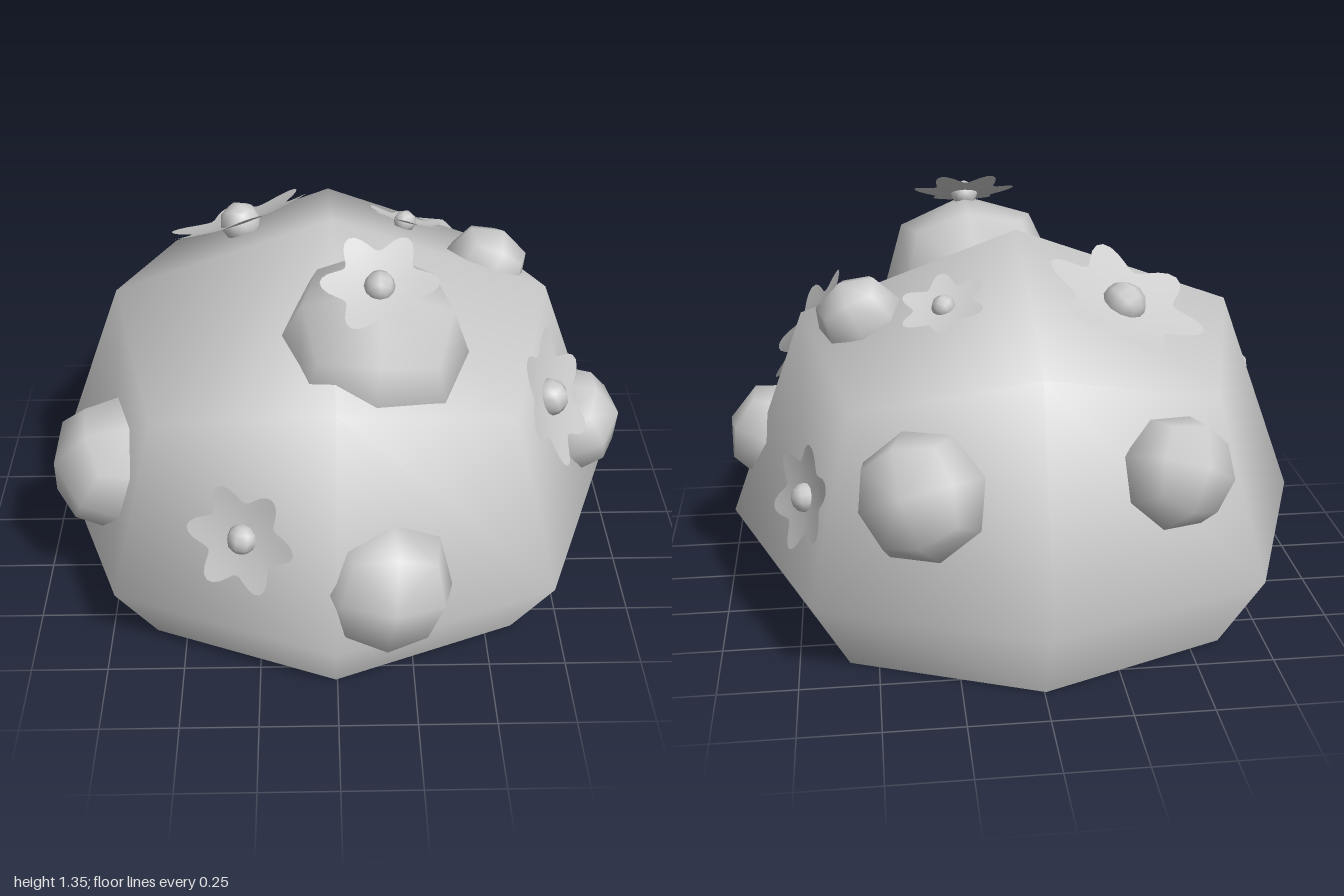
import * as THREE from 'three';

const material = new THREE.MeshStandardMaterial({ color: 0xcccccc, side: THREE.DoubleSide });

// Low-poly dome of radius 1 with an undercut open rim. Every second column is
// a cube-sphere corner: wider and lower at the shoulder.
function makeDome() {
  const axisColumn = [[0.845, -0.275], [1, 0], [0.73, 0.725], [0, 0.99]];
  const cornerColumn = [[0.86, -0.275], [1.02, 0], [0.815, 0.59], [0, 0.99]];
  const geometry = new THREE.LatheGeometry(axisColumn.map(p => new THREE.Vector2(...p)), 8);
  const { position, normal } = geometry.attributes;
  const v = new THREE.Vector3();
  for (let i = 0; i < position.count; i++) {
    const column = Math.floor(i / 4);
    const [r, y] = (column % 2 ? cornerColumn : axisColumn)[i % 4];
    const a = column * Math.PI / 4;
    v.set(r * Math.sin(a), y, r * Math.cos(a));
    position.setXYZ(i, v.x, v.y, v.z);
    v.normalize();
    normal.setXYZ(i, v.x, v.y, v.z);
  }
  return geometry;
}

// Six-petalled sheet of radius 1, slightly cupped towards +z.
function makePetals() {
  const geometry = new THREE.RingGeometry(0.02, 1, 60, 4);
  const p = geometry.attributes.position;
  for (let i = 0; i < p.count; i++) {
    const r = Math.hypot(p.getX(i), p.getY(i));
    const a = Math.atan2(p.getY(i), p.getX(i));
    const k = r * (0.83 + 0.17 * Math.cos(6 * a));
    p.setXYZ(i, k * Math.cos(a), k * Math.sin(a), 0.12 * k * k);
  }
  geometry.computeVertexNormals();
  return geometry;
}

const domeGeometry = makeDome();
const petalGeometry = makePetals();
const budGeometry = new THREE.SphereGeometry(0.27, 8, 6);

function part(name, geometry) {
  const mesh = new THREE.Mesh(geometry, material);
  mesh.name = name;
  return mesh;
}

// Small dome whose pole points along axis.
function makeBump([center, axis, radius]) {
  const bump = part('bump', domeGeometry);
  bump.position.set(...center);
  bump.scale.setScalar(radius);
  bump.quaternion.setFromUnitVectors(
    new THREE.Vector3(0, 1, 0), new THREE.Vector3(...axis).normalize());
  return bump;
}

// Flower facing along normal, turned by spin about it.
function makeFlower([center, normal, radius, spin]) {
  const flower = new THREE.Group();
  flower.name = 'flower';
  flower.add(part('petals', petalGeometry), part('flowerCentre', budGeometry));
  flower.position.set(...center);
  flower.lookAt(new THREE.Vector3(...center).add(new THREE.Vector3(...normal)));
  flower.rotateZ(spin);
  flower.scale.setScalar(radius);
  return flower;
}

export function createModel() {
  const model = new THREE.Group();
  model.name = 'floweredDome';

  const shell = part('domeShell', domeGeometry);
  shell.position.set(-0.005, 0.27, -0.02);
  shell.scale.setScalar(0.98);
  model.add(shell);

  // Centre, axis, radius
  const bumps = [
    [[0.115, 0.955, 0.335], [0.06, 0.94, 0.32], 0.315],
    [[0.145, 0.41, 0.775], [0.12, 0.2, 0.97], 0.22],
    [[-0.715, 0.54, 0.345], [-0.87, 0.3, 0.38], 0.22],
    [[0.81, 0.505, 0.085], [0.93, 0.3, 0.22], 0.182],
    [[0.515, 0.99, -0.14], [0.45, 0.88, -0.1], 0.145],
    [[0.355, 0.63, -0.73], [0.35, 0.36, -0.87], 0.205],
    [[-0.41, 0.655, -0.695], [-0.42, 0.4, -0.83], 0.182],
  ];
  bumps.forEach(b => model.add(makeBump(b)));

  // Centre, normal, radius, spin
  const flowers = [
    [[0.13, 1.26, 0.425], [0, 0.89, 0.46], 0.178, 0],
    [[-0.29, 0.58, 0.77], [-0.38, 0.35, 0.86], 0.178, 0],
    [[0.685, 0.8, 0.36], [0.83, 0.42, 0.37], 0.225, 0],
    [[0.705, 0.56, -0.555], [0.83, 0.25, -0.42], 0.17, Math.PI / 6],
    [[-0.315, 1.07, -0.32], [-0.3, 0.88, -0.33], 0.265, 0],
    [[0.255, 1.075, -0.305], [0.25, 0.9, -0.35], 0.145, 0],
  ];
  flowers.forEach(f => model.add(makeFlower(f)));

  return model;
}
